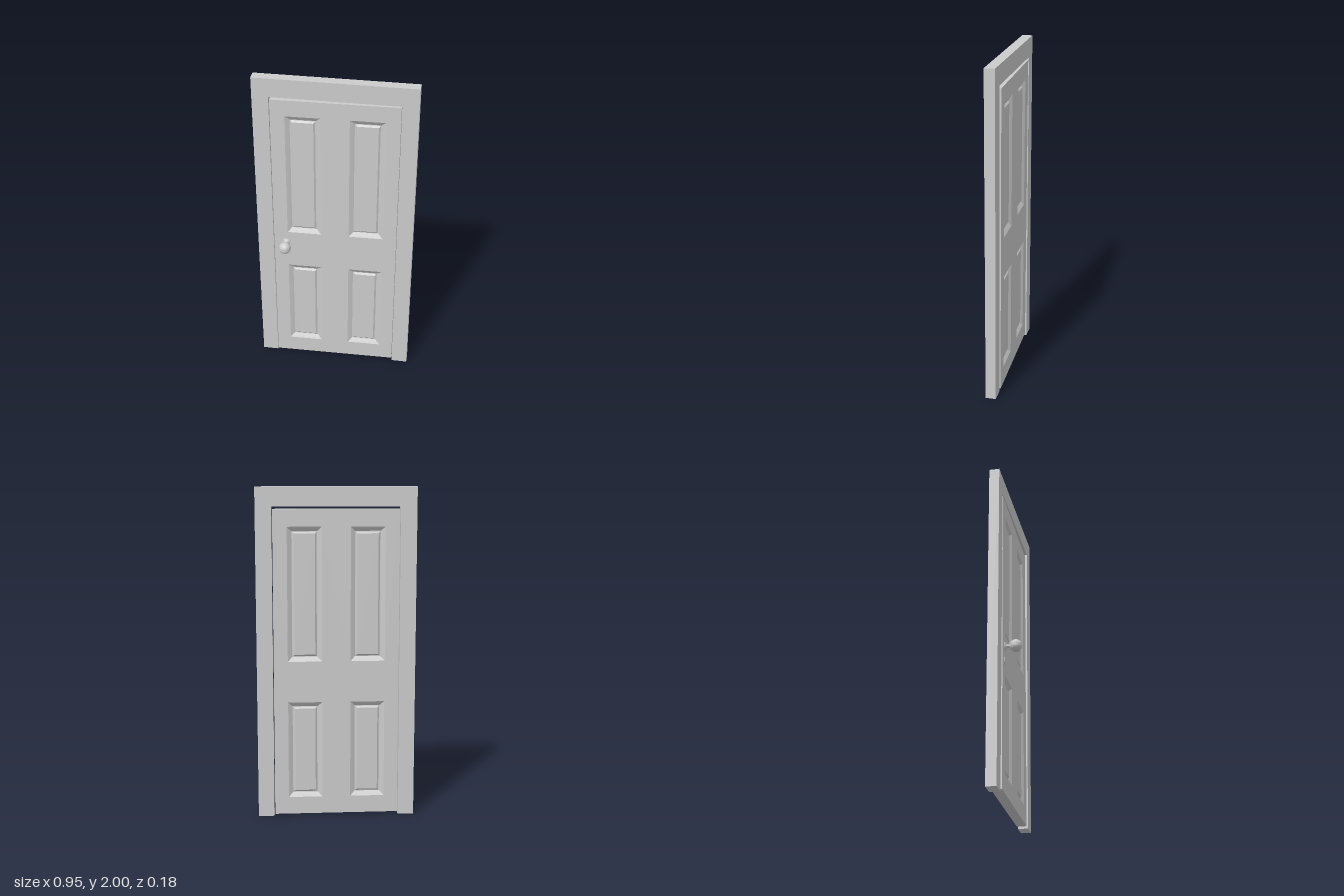
import * as THREE from 'three';
import { toCreasedNormals } from 'three/addons/utils/BufferGeometryUtils.js';

const material = new THREE.MeshStandardMaterial({ color: 0xcccccc });

function add(parent, name, geometry) {
  const mesh = new THREE.Mesh(geometry, material);
  mesh.name = name;
  parent.add(mesh);
  return mesh;
}

function rect(Type, x0, y0, x1, y1) {
  const path = new Type();
  path.moveTo(x0, y0).lineTo(x1, y0).lineTo(x1, y1).lineTo(x0, y1).closePath();
  return path;
}

function extrude(shape, depth) {
  return new THREE.ExtrudeGeometry(shape, { depth, bevelEnabled: false, curveSegments: 24 }).translate(0, 0, -depth / 2);
}

// Rectangular rings lofted through [inset, depth] steps, closed by a flat field
function panelGeometry(w, h) {
  const steps = [[0, 0], [0.008, -0.005], [0.027, -0.018], [0.031, -0.018], [0.041, -0.009]];
  const pos = [], index = [];
  for (const [inset, z] of steps) {
    const x = w / 2 - inset, y = h / 2 - inset;
    pos.push(-x, -y, z, x, -y, z, x, y, z, -x, y, z);
  }
  for (let s = 0; s < steps.length - 1; s++) {
    for (let i = 0; i < 4; i++) {
      const a = s * 4 + i, b = s * 4 + (i + 1) % 4;
      index.push(a, b, b + 4, a, b + 4, a + 4);
    }
  }
  const c = (steps.length - 1) * 4;
  index.push(c, c + 1, c + 2, c, c + 2, c + 3);
  const g = new THREE.BufferGeometry();
  g.setAttribute('position', new THREE.Float32BufferAttribute(pos, 3));
  g.setIndex(index);
  const flat = g.toNonIndexed();
  flat.computeVertexNormals();
  return flat;
}

export function createModel() {
  const model = new THREE.Group();
  model.name = 'doorway';

  // Frame: two jambs and a header in one outline, open at the bottom
  const W = 0.476, J = 0.379, top = 1.885;
  const outline = new THREE.Shape([
    [-W, 0], [-J, 0], [-J, top], [J, top], [J, 0], [W, 0], [W, 2], [-W, 2],
  ].map(([x, y]) => new THREE.Vector2(x, y)));
  add(model, 'frame', extrude(outline, 0.062)).position.z = -0.049;

  // Door leaf, standing very slightly ajar; its origin is at mid height
  const midY = 0.942, T = 0.06, halfH = 0.928;
  const door = new THREE.Group();
  door.name = 'door';
  door.position.set(0, midY, -0.051);
  door.rotation.set(-0.003, 0.018, 0);
  model.add(door);

  const slab = rect(THREE.Shape, -0.375, -halfH, 0.375, halfH);
  const panels = [];
  for (const side of [-1, 1]) {
    for (const [y0, y1] of [[0.12, 0.715], [0.965, 1.769]]) {
      panels.push({ x: side * 0.188, y: (y0 + y1) / 2 - midY, w: 0.206, h: y1 - y0 });
    }
  }
  for (const { x, y, w, h } of panels) {
    slab.holes.push(rect(THREE.Path, x - w / 2, y - h / 2, x + w / 2, y + h / 2));
  }
  add(door, 'doorSlab', extrude(slab, T));

  // Recessed panels with a raised field, on both faces
  for (const { x, y, w, h } of panels) {
    for (const face of [1, -1]) {
      const panel = add(door, face > 0 ? 'frontPanel' : 'backPanel', panelGeometry(w, h));
      panel.position.set(x, y, face * T / 2);
      if (face < 0) panel.rotation.y = Math.PI;
    }
  }

  // Knob: rosette, flared neck and ball turned as one profile
  const profile = [[0, 0], [0.026, 0], [0.026, 0.003], [0.018, 0.006], [0.012, 0.012], [0.0105, 0.02], [0.0115, 0.0285]];
  const R = 0.037, centre = 0.0637;
  const start = Math.asin(0.0115 / R);
  for (let i = 1; i <= 20; i++) {
    const a = start + (Math.PI - start) * i / 20;
    profile.push([Math.max(0, R * Math.sin(a)), centre - R * Math.cos(a)]);
  }
  const knobGeometry = new THREE.LatheGeometry(profile.map(([r, y]) => new THREE.Vector2(r, y)), 32);
  const knob = add(door, 'knob', toCreasedNormals(knobGeometry, 0.6));
  knob.rotation.x = Math.PI / 2;
  knob.position.set(-0.3, 0.89 - midY, T / 2);

  // Round keyhole plate below the knob
  const plate = new THREE.Shape().absarc(0, 0, 0.025, 0, Math.PI * 2);
  const keyhole = new THREE.Path();
  keyhole.absarc(0, 0.005, 0.005, -Math.PI / 3, Math.PI * 4 / 3);
  keyhole.lineTo(-0.004, -0.012).lineTo(0.004, -0.012).closePath();
  plate.holes.push(keyhole);
  const plateGeometry = toCreasedNormals(extrude(plate, 0.003), 0.6);
  add(door, 'keyholePlate', plateGeometry).position.set(-0.3, 0.797 - midY, T / 2 + 0.0015);

  return model;
}
